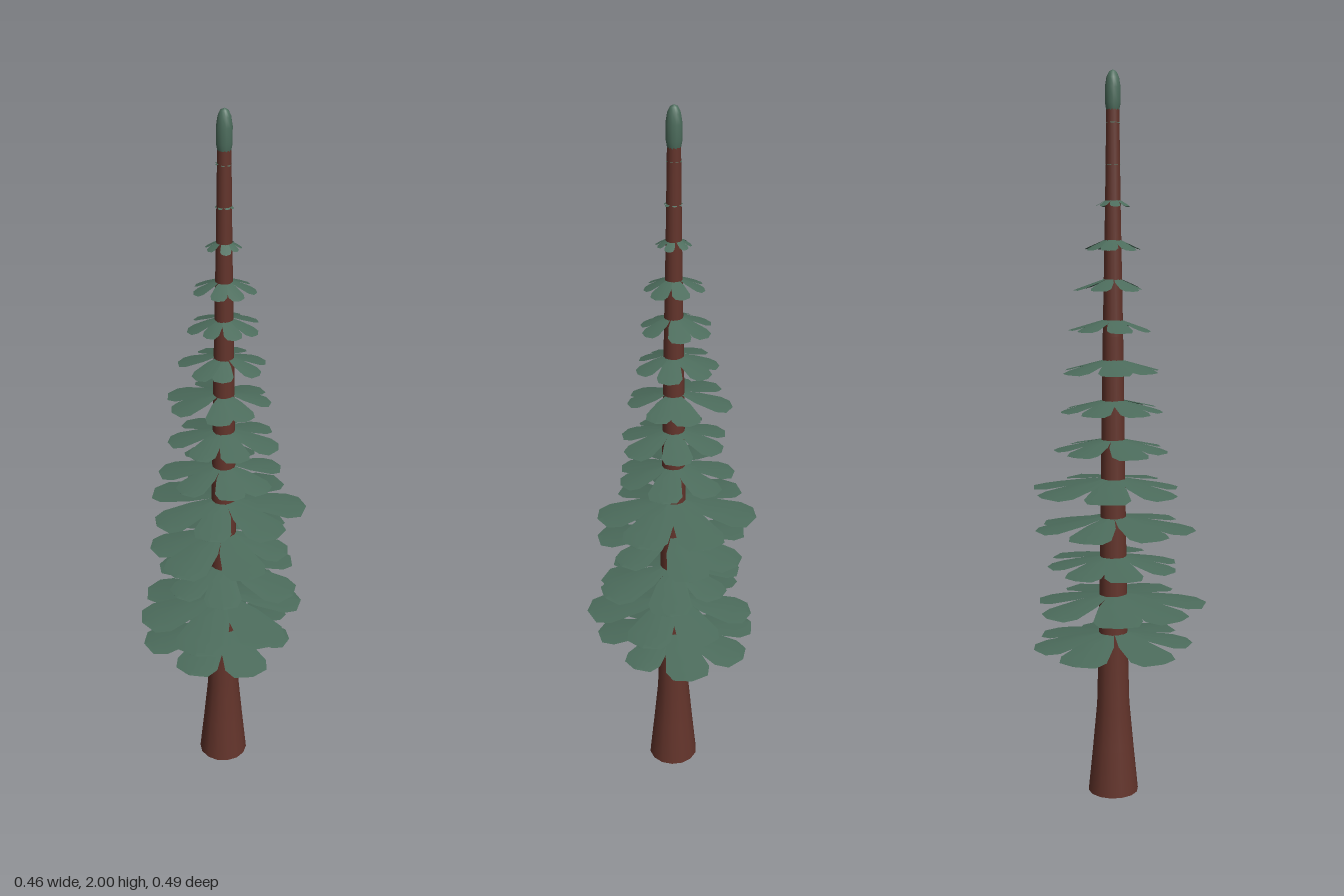
import * as THREE from 'three';
import { mergeGeometries } from 'three/addons/utils/BufferGeometryUtils.js';

const AXIS_X = 0.008, AXIS_Z = -0.016;

// Whorls of foliage: tip height, then reach towards +x, +z, -x, -z from the trunk axis
const WHORLS = [
  [0.438, 0.20, 0.23, 0.25, 0.23],
  [0.548, 0.235, 0.265, 0.24, 0.225],
  [0.658, 0.225, 0.18, 0.19, 0.185],
  [0.768, 0.20, 0.24, 0.205, 0.215],
  [0.876, 0.225, 0.19, 0.22, 0.23],
  [0.986, 0.16, 0.15, 0.18, 0.16],
  [1.095, 0.16, 0.145, 0.15, 0.15],
  [1.205, 0.125, 0.13, 0.165, 0.15],
  [1.315, 0.115, 0.10, 0.125, 0.125],
  [1.425, 0.10, 0.08, 0.105, 0.11],
  [1.530, 0.085, 0.075, 0.085, 0.085],
  [1.645, 0.045, 0.05, 0.05, 0.045],
  [1.753, 0.026, 0.024, 0.024, 0.022],
  [1.862, 0.02, 0.02, 0.024, 0.02],
];

// Leaf outline: fraction of length, half width as a fraction of length
const LEAF = [[0.04, 0.03], [0.4, 0.2], [0.76, 0.285], [0.92, 0.225], [1, 0.03]];

function seeded(seed) {
  return () => {
    seed = (seed * 16807) % 2147483647;
    return seed / 2147483647;
  };
}

// One drooping leaf along +x, with its midrib slightly raised
function leafGeometry(length, drop) {
  const positions = [], index = [];
  for (const [t, w] of LEAF) {
    for (const side of [-1, 0, 1]) {
      const pull = side === 0 ? 0 : (t === 1 ? 0.01 : 0);
      positions.push(
        length * (t - pull),
        -drop * t - Math.abs(side) * w * length * 0.1,
        side * w * length,
      );
    }
  }
  for (let i = 0; i < LEAF.length - 1; i++) {
    for (let j = 0; j < 2; j++) {
      const a = i * 3 + j, b = a + 1, c = a + 3, d = a + 4;
      index.push(a, b, c, b, d, c);
    }
  }
  const g = new THREE.BufferGeometry();
  g.setAttribute('position', new THREE.Float32BufferAttribute(positions, 3));
  g.setIndex(index);
  g.computeVertexNormals();
  return g;
}

// Reach in any direction, blended between the two nearest axes
function reachAt(angle, reach) {
  const c = Math.cos(angle), s = Math.sin(angle);
  return c * c * (c > 0 ? reach[0] : reach[2]) + s * s * (s > 0 ? reach[1] : reach[3]);
}

export function createModel() {
  const bark = new THREE.MeshStandardMaterial({ color: 0x63342b });
  bark.name = 'bark brown';
  const needles = new THREE.MeshStandardMaterial({ color: 0x4c6c5c, side: THREE.DoubleSide });
  needles.name = 'needle green';

  const tree = new THREE.Group();
  tree.name = 'coniferTree';
  const add = (name, geometry, material, y = 0) => {
    const mesh = new THREE.Mesh(geometry, material);
    mesh.name = name;
    mesh.position.set(AXIS_X, y, AXIS_Z);
    tree.add(mesh);
  };

  // Tapering trunk with a flared foot
  const profile = [[0.071, 0], [0.058, 0.13], [0.046, 0.26], [0.041, 0.45], [0.034, 0.9],
    [0.028, 1.3], [0.021, 1.65], [0.017, 1.93]];
  add('trunk', new THREE.LatheGeometry(profile.map(([r, y]) => new THREE.Vector2(r, y)), 14), bark);
  const base = new THREE.CircleGeometry(0.071, 14);
  base.rotateX(Math.PI / 2);
  add('trunkBase', base, bark);

  // Rounded green tip
  const tip = [[0.017, 1.895], [0.021, 1.915], [0.021, 1.955], [0.017, 1.98], [0.01, 1.995], [0, 2]];
  add('treeTip', new THREE.LatheGeometry(tip.map(([r, y]) => new THREE.Vector2(r, y)), 12), needles);

  // Whorls of seven leaves, each turned against the one below
  const random = seeded(71);
  const count = 7;
  WHORLS.forEach(([y, ...reach], layer) => {
    const mean = (reach[0] + reach[1] + reach[2] + reach[3]) / 4;
    const drop = Math.min(0.037, mean * 0.6);
    const leaves = [];
    for (let i = 0; i < count; i++) {
      const angle = (i / count) * Math.PI * 2 + layer * 2.4 + (random() - 0.5) * 0.25;
      const length = reachAt(angle, reach) * (0.95 + random() * 0.08);
      const leaf = leafGeometry(length, drop * (0.92 + random() * 0.12));
      leaf.rotateY(-angle);
      leaves.push(leaf);
    }
    add(`foliageWhorl${layer + 1}`, mergeGeometries(leaves), needles, y + drop);
  });

  return tree;
}
